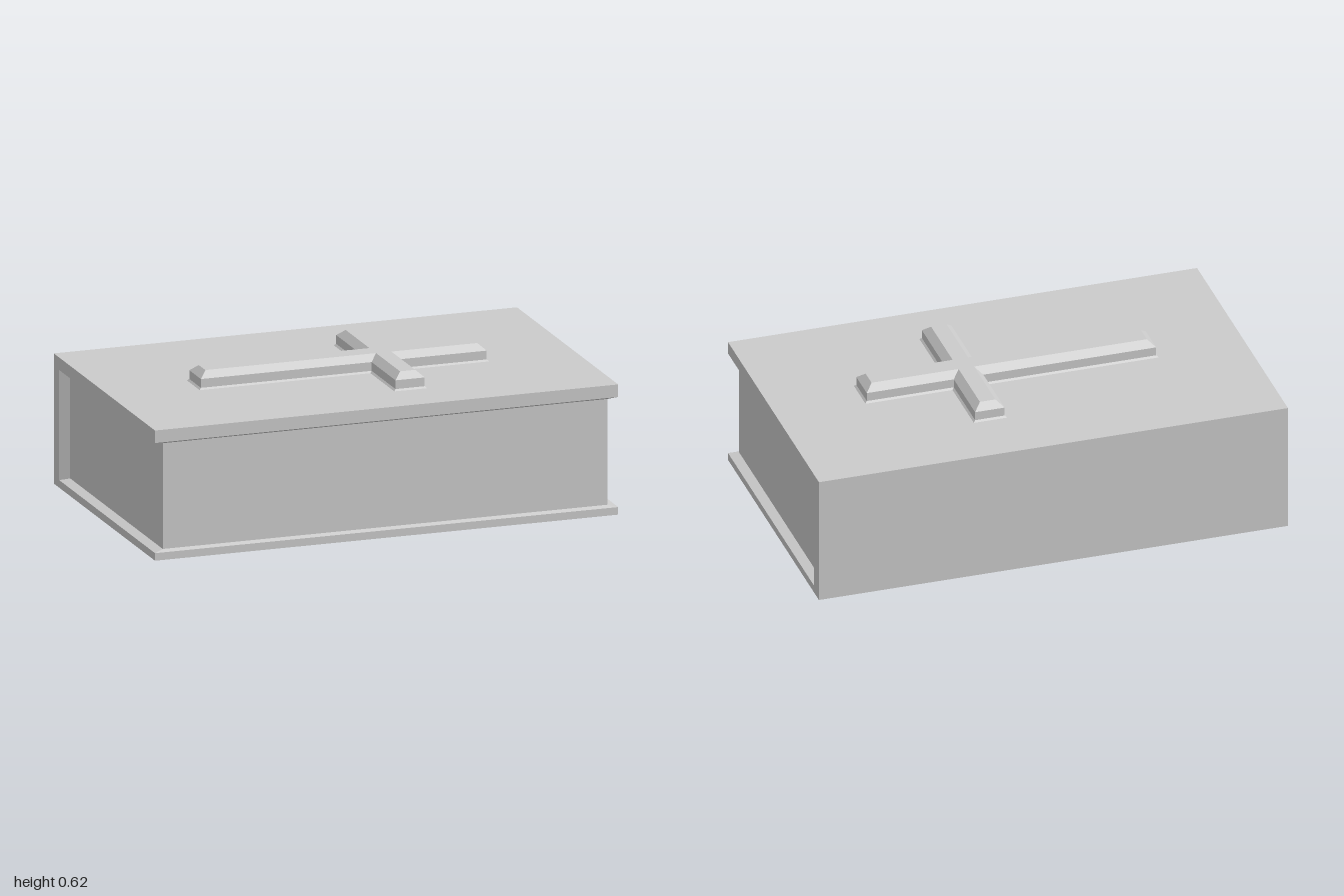
import * as THREE from 'three';

const material = new THREE.MeshStandardMaterial({ color: 0xcccccc, flatShading: true });

// Stacked outlines [{ y, pts: [[x, z], ...] }], counter-clockwise seen from above, capped at both ends
function loft(rings) {
  const pos = [];
  const put = (r, i) => pos.push(r.pts[i][0], r.y, r.pts[i][1]);
  for (let k = 0; k < rings.length - 1; k++) {
    const a = rings[k], b = rings[k + 1], n = a.pts.length;
    for (let i = 0; i < n; i++) {
      const j = (i + 1) % n;
      put(a, i); put(a, j); put(b, j);
      put(a, i); put(b, j); put(b, i);
    }
  }
  const cap = (r, flip) => {
    const outline = r.pts.map(([x, z]) => new THREE.Vector2(x, -z));
    for (const f of THREE.ShapeUtils.triangulateShape(outline, [])) {
      (flip ? [...f].reverse() : f).forEach((i) => put(r, i));
    }
  };
  cap(rings[0], true);
  cap(rings[rings.length - 1], false);
  const g = new THREE.BufferGeometry();
  g.setAttribute('position', new THREE.Float32BufferAttribute(pos, 3));
  g.computeVertexNormals();
  return g;
}

const rect = (x, back, front) => [[-x, front], [x, front], [x, back], [-x, back]];

// Cross outline, drawn inwards by d on every side
function crossOutline(d) {
  const x0 = -0.627 + d, x1 = 0.623 - d, z0 = -0.332 + d, z1 = 0.393 - d;
  const ax0 = 0.11 + d, ax1 = 0.252 - d, bz0 = -0.048 + d, bz1 = 0.107 - d;
  return [
    [x0, bz1], [ax0, bz1], [ax0, z1], [ax1, z1], [ax1, bz1], [x1, bz1],
    [x1, bz0], [ax1, bz0], [ax1, z0], [ax0, z0], [ax0, bz0], [x0, bz0],
  ];
}

export function createModel() {
  const group = new THREE.Group();
  const add = (name, geometry) => {
    const mesh = new THREE.Mesh(geometry, material);
    mesh.name = name;
    group.add(mesh);
  };

  const Z = 0.605, H = 0.55;       // half depth and height of the book
  const low = 0.032, high = 0.497; // inner edges of the covers

  // Covers
  const cover = rect(1, -Z, Z);
  add('bottomCover', loft([{ y: 0, pts: cover }, { y: low, pts: cover }]));
  add('topCover', loft([{ y: high, pts: cover }, { y: H, pts: cover }]));

  // Spine, with its inner edges chamfered towards the pages
  const spine = [[-1, -0.54], [-0.96, -0.519], [0.96, -0.519], [1, -0.54], [1, -Z], [-1, -Z]];
  add('spine', loft([{ y: low, pts: spine }, { y: high, pts: spine }]));

  // Page block, flaring out to meet the covers
  const outer = rect(1, -0.54, Z), inner = rect(0.96, -0.54, 0.587);
  add('pages', loft([
    { y: low, pts: outer }, { y: 0.041, pts: inner },
    { y: 0.488, pts: inner }, { y: high, pts: outer },
  ]));

  // Raised cross with a flared foot and bevelled top
  add('cross', loft([
    { y: H, pts: crossOutline(0) }, { y: 0.557, pts: crossOutline(0.008) },
    { y: 0.594, pts: crossOutline(0.008) }, { y: 0.621, pts: crossOutline(0.038) },
  ]));

  return group;
}
